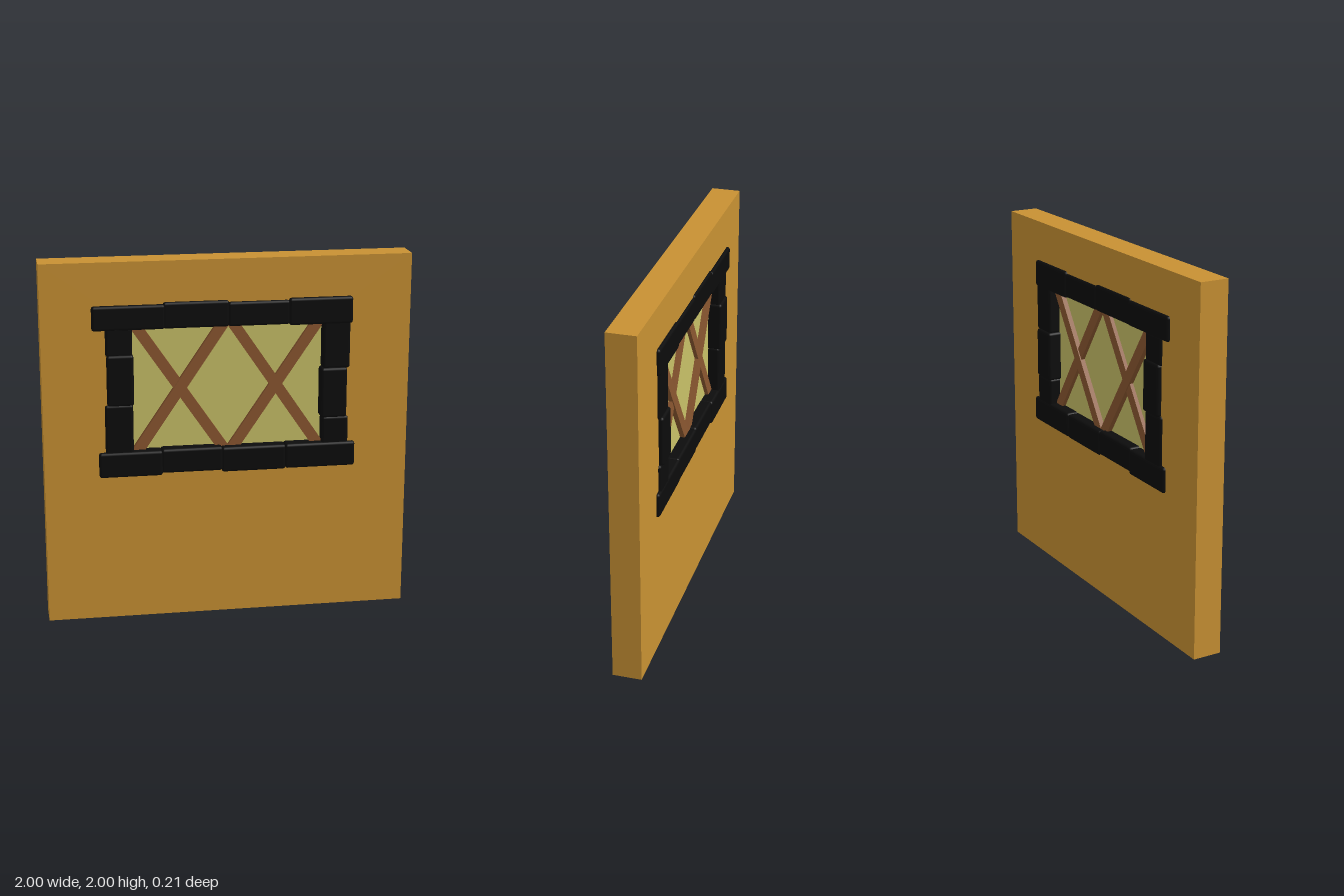
import * as THREE from 'three';
import { RoundedBoxGeometry } from 'three/addons/geometries/RoundedBoxGeometry.js';

export function createModel() {
  const model = new THREE.Group();
  model.name = 'wallWithWindow';

  const material = (name, color) => {
    const m = new THREE.MeshStandardMaterial({ color });
    m.name = name;
    return m;
  };
  const plaster = material('ochrePlaster', 0xc89133);
  const stone = material('blackStone', 0x0c0c0c);
  const glass = material('yellowGlass', 0xc8c067);
  const wood = material('brownWood', 0x8b5730);

  const add = (name, geometry, mat, x = 0, y = 0, z = 0) => {
    const mesh = new THREE.Mesh(geometry, mat);
    mesh.name = name;
    mesh.position.set(x, y, z);
    model.add(mesh);
    return mesh;
  };
  const rectangle = (path, x0, y0, x1, y1) =>
    path.moveTo(x0, y0).lineTo(x1, y0).lineTo(x1, y1).lineTo(x0, y1).closePath();

  // Wall slab with the window opening
  const outline = rectangle(new THREE.Shape(), -1, 0, 1, 2);
  outline.holes.push(rectangle(new THREE.Path(), -0.58, 0.89, 0.58, 1.7));
  const wall = new THREE.ExtrudeGeometry(outline, { depth: 0.16, bevelEnabled: false });
  add('wall', wall, plaster, 0, 0, -0.08);

  // Frame stones run through the wall: x0, x1, y0, y1, back z, front z
  const stones = {
    lintelStone: [
      [-0.73, -0.34, 1.635, 1.768, -0.098, 0.103],
      [-0.35, 0.005, 1.635, 1.778, -0.093, 0.096],
      [0, 0.335, 1.635, 1.768, -0.093, 0.096],
      [0.33, 0.68, 1.63, 1.778, -0.098, 0.103],
    ],
    sillStone: [
      [-0.705, -0.36, 0.82, 0.96, -0.098, 0.103],
      [-0.365, -0.03, 0.83, 0.965, -0.093, 0.096],
      [-0.035, 0.32, 0.82, 0.96, -0.093, 0.096],
      [0.315, 0.705, 0.825, 0.963, -0.098, 0.103],
    ],
    rightJambStone: [
      [-0.66, -0.515, 1.49, 1.65, -0.095, 0.093],
      [-0.655, -0.51, 1.22, 1.5, -0.106, 0.103],
      [-0.668, -0.515, 0.945, 1.225, -0.095, 0.093],
    ],
    leftJambStone: [
      [0.52, 0.67, 1.38, 1.65, -0.095, 0.093],
      [0.51, 0.655, 1.105, 1.385, -0.106, 0.103],
      [0.52, 0.667, 0.945, 1.11, -0.095, 0.093],
    ],
  };
  for (const [name, blocks] of Object.entries(stones)) {
    blocks.forEach(([x0, x1, y0, y1, z0, z1], i) => {
      const geometry = new RoundedBoxGeometry(x1 - x0, y1 - y0, z1 - z0, 2, 0.015);
      add(name + (i + 1), geometry, stone, (x0 + x1) / 2, (y0 + y1) / 2, (z0 + z1) / 2);
    });
  }

  // Recessed pane
  add('pane', new THREE.BoxGeometry(1.12, 0.78, 0.06), glass, 0, 1.297, 0);

  // Two crossed pairs of bars, one bar of each pair slightly prouder
  const angle = Math.atan2(0.337, 0.228);
  [[-0.257, 1], [0.267, -1]].forEach(([x, front]) => {
    for (const lean of [1, -1]) {
      const bar = add(lean > 0 ? 'risingBar' : 'fallingBar',
        new THREE.BoxGeometry(0.86, 0.06, 0.108), wood, x, 1.297, lean * front * 0.003);
      bar.rotation.z = lean * angle;
    }
  });

  return model;
}
